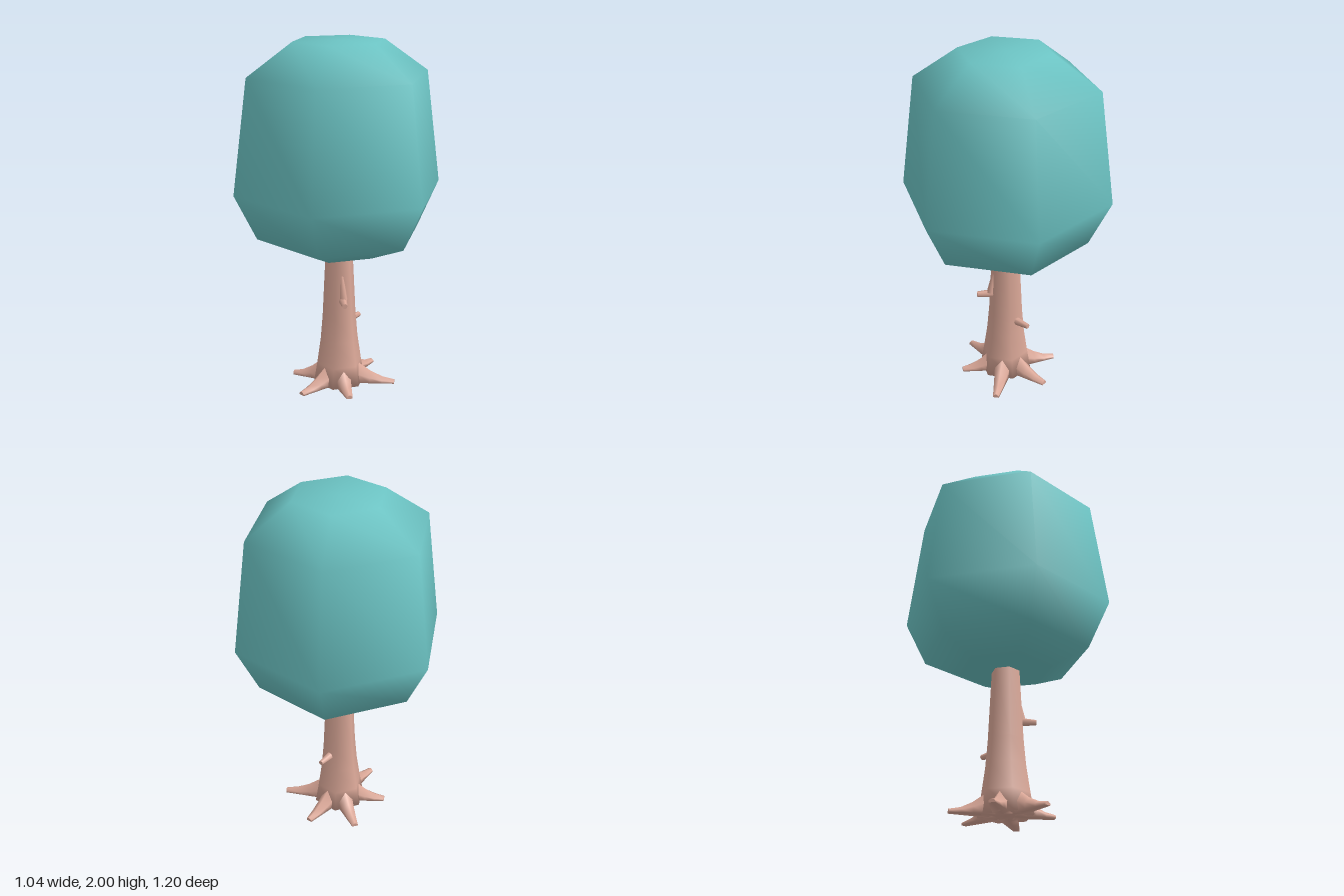
import * as THREE from 'three';

const leafMat = new THREE.MeshStandardMaterial({ color: 0x6cc4c4 });
const barkMat = new THREE.MeshStandardMaterial({ color: 0xdba898 });

function part(name, geometry, material) {
  const mesh = new THREE.Mesh(geometry, material);
  mesh.name = name;
  return mesh;
}

// Smooth-shaded six-sided solid with corners on the z axis; profile is [radius, y]
function hexLathe(profile) {
  return new THREE.LatheGeometry(profile.map(([r, y]) => new THREE.Vector2(r, y)), 6);
}

// Tapered peg between two points
function peg(name, from, to, r0, r1) {
  const a = new THREE.Vector3(...from), b = new THREE.Vector3(...to);
  const dir = b.clone().sub(a);
  const mesh = part(name, new THREE.CylinderGeometry(r1, r0, dir.length(), 6), barkMat);
  mesh.position.copy(a).add(b).multiplyScalar(0.5);
  mesh.quaternion.setFromUnitVectors(new THREE.Vector3(0, 1, 0), dir.normalize());
  return mesh;
}

// Root: a cylinder laid along +z, flat below, sinking and narrowing towards its tip
function root(x, z) {
  const length = Math.hypot(x, z);
  const geo = new THREE.CylinderGeometry(1, 1, 1, 6, 4);
  const p = geo.attributes.position;
  for (let i = 0; i < p.count; i++) {
    const t = p.getY(i) + 0.5;
    const across = p.getX(i), up = -p.getZ(i);
    const width = 0.062 - 0.042 * t;
    const height = 0.022 + 0.15 * Math.pow(1 - t, 1.8);
    p.setXYZ(i, across * width, height * Math.max(0, up), 0.05 + t * (length - 0.05));
  }
  geo.computeVertexNormals();
  const mesh = part('root', geo, barkMat);
  mesh.rotation.y = Math.atan2(x, z);
  return mesh;
}

export function createModel() {
  const tree = new THREE.Group();
  tree.name = 'tree';

  // Rounded hexagonal crown
  tree.add(part('canopy', hexLathe([
    [0, 0.82], [0.25, 0.82], [0.475, 0.92], [0.6, 1.18], [0.514, 1.82], [0.26, 2], [0, 2],
  ]), leafMat));

  // Trunk flaring to the ground and running up into the crown
  tree.add(part('trunk', hexLathe([
    [0, 0], [0.155, 0], [0.135, 0.12], [0.113, 0.27], [0.1, 0.42], [0.08, 0.82], [0.075, 0.92], [0, 0.92],
  ]), barkMat));

  // Roots spreading around the base
  const roots = new THREE.Group();
  roots.name = 'roots';
  const tips = [[0.33, -0.02], [0.14, -0.27], [-0.14, -0.27], [-0.28, 0], [-0.16, 0.26], [0.12, 0.24]];
  for (const [x, z] of tips) roots.add(root(x, z));
  tree.add(roots);

  // Broken branch stubs, the upper one with a shoulder of bark above it
  tree.add(peg('upperStub', [0.03, 0.53, 0.05], [0.07, 0.53, 0.155], 0.026, 0.016));
  tree.add(peg('upperStubShoulder', [0.047, 0.54, 0.08], [0.025, 0.7, 0.055], 0.022, 0.01));
  tree.add(peg('lowerStub', [0.03, 0.36, -0.05], [0.085, 0.36, -0.155], 0.026, 0.015));

  return tree;
}
